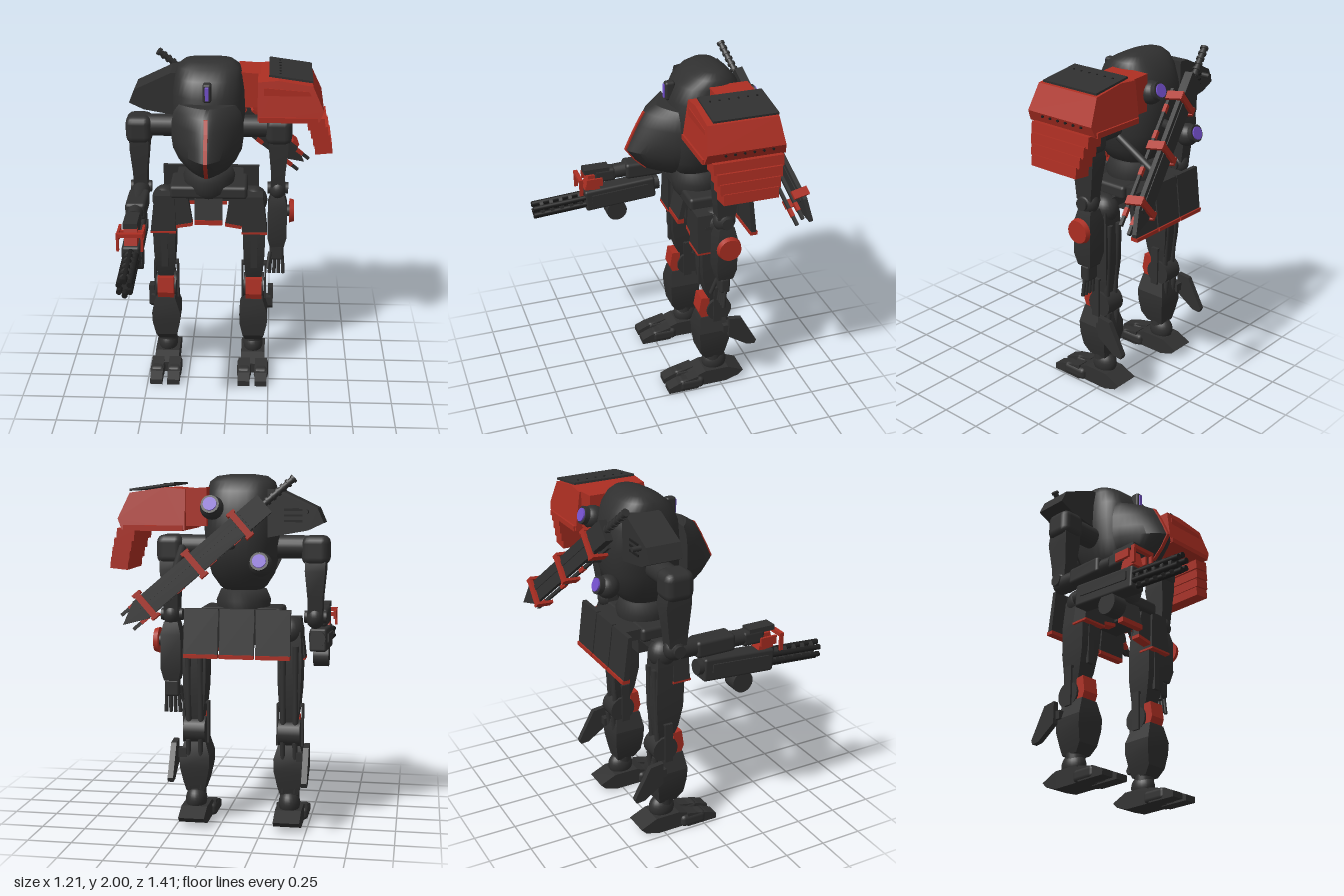
import * as THREE from 'three';
import { toCreasedNormals } from 'three/addons/utils/BufferGeometryUtils.js';
import { RoundedBoxGeometry } from 'three/addons/geometries/RoundedBoxGeometry.js';

const material = (name, color) => Object.assign(new THREE.MeshStandardMaterial({ color }), { name });
const V = (x, y, z) => new THREE.Vector3(x, y, z);

export function createModel() {
  const dark = material('charcoal', 0x303030), black = material('black', 0x1e1e1e);
  const red = material('red', 0xac2e22), purple = material('purple', 0x7350cc);
  const root = new THREE.Group();
  root.name = 'walkingRobot';
  let parent = root;
  const group = (name, x = 0, y = 0, z = 0) => {
    const g = new THREE.Group();
    g.name = name; g.position.set(x, y, z); root.add(g);
    return (parent = g);
  };
  const add = (name, geo, mat, x = 0, y = 0, z = 0) => {
    const m = new THREE.Mesh(geo, mat);
    m.name = name; m.position.set(x, y, z); parent.add(m);
    return m;
  };
  const box = (name, mat, w, h, d, x, y, z) => add(name, new THREE.BoxGeometry(w, h, d), mat, x, y, z);
  const soft = (name, mat, w, h, d, x, y, z, r = 0.02) => add(name, new RoundedBoxGeometry(w, h, d, 2, r), mat, x, y, z);
  const ball = (name, mat, r, x, y, z, sx = 1) => {
    const m = add(name, new THREE.SphereGeometry(r, 24, 16), mat, x, y, z);
    m.scale.x = sx; return m;
  };
  // Round rod between two points
  const rod = (name, mat, a, b, r0, r1 = r0) => {
    const m = add(name, new THREE.CylinderGeometry(r1, r0, a.distanceTo(b), 20), mat);
    m.position.copy(a).lerp(b, 0.5);
    m.quaternion.setFromUnitVectors(V(0, 1, 0), b.clone().sub(a).normalize());
    return m;
  };
  // Profile of [x, y] points extruded along z, or of [z, y] points along x
  const front = (name, mat, pts, depth, x, z) => {
    const g = new THREE.ExtrudeGeometry(new THREE.Shape(pts.map(p => new THREE.Vector2(...p))), { depth, bevelEnabled: false });
    return add(name, g.translate(0, 0, -depth / 2), mat, x, 0, z);
  };
  const side = (name, mat, pts, width, x) => {
    const m = front(name, mat, pts, width, 0, 0);
    m.geometry.rotateY(-Math.PI / 2);
    m.position.x = x; return m;
  };
  // Skin over rings stacked upward, each running counter-clockwise seen from above
  const loft = (rings, crease) => {
    const n = rings[0].length, pos = [], idx = [];
    rings.forEach(r => r.forEach(p => pos.push(p.x, p.y, p.z)));
    for (let i = 0; i < rings.length - 1; i++) for (let j = 0; j < n; j++) {
      const a = i * n + j, b = i * n + (j + 1) % n;
      idx.push(a, b, b + n, a, b + n, a + n);
    }
    const top = (rings.length - 1) * n;
    for (let j = 1; j < n - 1; j++) idx.push(0, j + 1, j, top, top + j, top + j + 1);
    const g = new THREE.BufferGeometry();
    g.setAttribute('position', new THREE.Float32BufferAttribute(pos, 3));
    g.setIndex(idx);
    return toCreasedNormals(g, crease);
  };
  // Rectangular rings: [y, half width, front z, back z]
  const blocks = rows => loft(rows.map(([y, w, f, b]) => [V(-w, y, f), V(w, y, f), V(w, y, b), V(-w, y, b)]), 0.3);
  const C = -0.12;

  // Torso shell
  group('torso', C);
  const shell = [[1.34, 0.08, -0.08, -0.27], [1.38, 0.13, -0.05, -0.34], [1.45, 0.175, -0.02, -0.4], [1.56, 0.2, -0.01, -0.44],
    [1.7, 0.212, -0.01, -0.45], [1.82, 0.208, -0.02, -0.44], [1.91, 0.195, -0.06, -0.41], [1.96, 0.18, -0.12, -0.37], [1.99, 0.14, -0.18, -0.33], [2.0, 0.07, -0.22, -0.29]];
  add('torsoShell', loft(shell.map(([y, w, f, b]) => Array.from({ length: 36 }, (_, i) => {
    const a = i / 36 * Math.PI * 2, p = v => Math.sign(v) * Math.abs(v) ** 0.8;
    return V(-w * p(Math.cos(a)), y, (f + b) / 2 + (f - b) / 2 * p(Math.sin(a)));
  })), 0.7), dark);
  // Pointed visor
  const visor = [[1.36, 0.05, 0.02], [1.4, 0.115, 0.115], [1.46, 0.165, 0.18], [1.53, 0.198, 0.232], [1.6, 0.207, 0.2], [1.68, 0.205, 0.16], [1.75, 0.19, 0.12], [1.79, 0.16, 0.06]];
  add('visor', loft(visor.map(([y, w, f]) => Array.from({ length: 21 }, (_, i) => {
    const s = i / 10 - 1;
    return V(w * s, y, -0.03 + (f + 0.03) * (1 - Math.abs(s) ** 1.6));
  })), 0.6), dark);
  const nose = visor.slice(1, 7);
  side('visorStripe', red, [...nose.map(([y, , f]) => [f + 0.006, y]), ...nose.map(([y, , f]) => [f - 0.02, y]).reverse()], 0.022, 0);
  soft('sensorHousing', dark, 0.05, 0.11, 0.06, 0, 1.86, -0.03, 0.015);
  soft('sensorLens', purple, 0.022, 0.08, 0.008, 0, 1.86, 0.003, 0.003);
  add('waist', new THREE.LatheGeometry([[0, 1.18], [0.11, 1.18], [0.14, 1.22], [0.155, 1.3], [0.13, 1.36], [0, 1.38]].map(p => new THREE.Vector2(...p)), 32), dark, 0, 0, -0.2);
  // Rear thrusters
  for (const [x, y, z] of [[0.14, 1.82, -0.43], [-0.135, 1.52, -0.48]]) {
    ball('thrusterHousing', dark, 0.065, x, y, z);
    const back = V(x, y + 0.022, z - 0.065);
    rod('thrusterRim', dark, V(x, y, z), back, 0.05);
    rod('thrusterLens', purple, back, V(x, y + 0.025, z - 0.073), 0.037);
  }

  // Pelvis and skirt
  group('pelvis', C);
  soft('pelvisBlock', dark, 0.46, 0.08, 0.24, 0, 1.225, -0.2);
  box('hipAxle', dark, 0.54, 0.06, 0.1, 0, 1.17, -0.22);
  box('skirtMount', dark, 0.4, 0.06, 0.16, 0, 1.23, -0.36);
  box('crotchBlock', dark, 0.15, 0.16, 0.16, 0, 1.13, -0.19);
  side('frontSkirt', dark, [[-0.12, 1.2], [-0.09, 1.2], [-0.06, 1.06], [-0.09, 1.06]], 0.165, 0);
  box('frontSkirtTrim', red, 0.165, 0.03, 0.04, 0, 1.045, -0.075);
  for (const i of [-1, 0, 1]) {
    side('rearSkirt', dark, [[-0.44, 1.27], [-0.415, 1.27], [-0.44, 1.02], [-0.472, 1.02]], 0.19, i * 0.2);
    box('rearSkirtTrim', red, 0.19, 0.022, 0.045, i * 0.2, 1.01, -0.458);
  }

  // Legs
  for (const s of [-1, 1]) {
    group(s > 0 ? 'leftLeg' : 'rightLeg', C + s * 0.272);
    const out = pts => pts.map(([x, y]) => [x * s, y]);
    ball('hipJoint', dark, 0.085, 0, 1.13, -0.22, 0.9);
    front('hipArmour', dark, out([[0.05, 1.2], [0.078, 0.97], [-0.073, 0.97], [-0.07, 1.2]]), 0.1, 0, -0.14);
    box('hipArmourTrim', red, 0.152, 0.012, 0.11, s * 0.002, 0.965, -0.14);
    front('innerHipArmour', dark, out([[-0.06, 1.235], [-0.14, 1.235], [-0.172, 1.02], [-0.075, 1.0]]), 0.05, 0, -0.13);
    front('innerHipTrim', red, out([[-0.075, 1.005], [-0.075, 0.985], [-0.174, 1.002], [-0.174, 1.023]]), 0.056, 0, -0.13);
    add('thigh', blocks([[0.6, 0.042, -0.18, -0.27], [0.68, 0.055, -0.15, -0.28], [0.8, 0.064, -0.125, -0.29], [0.97, 0.068, -0.12, -0.29], [1.13, 0.06, -0.14, -0.28]]), dark);
    box('thighRidge', dark, 0.04, 0.24, 0.02, 0, 0.84, -0.125);
    for (const x of [-0.035, 0.035]) {
      rod('thighPiston', dark, V(x, 0.58, -0.27), V(x, 1.05, -0.29), 0.017);
      rod('calfPiston', dark, V(x, 0.2, -0.26), V(x, 0.5, -0.29), 0.015);
    }
    for (const x of [-0.071, 0.071]) {
      box('kneeRail', dark, 0.012, 0.24, 0.05, x, 0.59, -0.22);
      box('kneeRailTop', dark, 0.03, 0.012, 0.05, x * 0.85, 0.705, -0.22);
    }
    rod('kneeJoint', dark, V(-0.062, 0.545, -0.235), V(0.062, 0.545, -0.235), 0.077);
    side('kneePlate', red, [[-0.18, 0.49], [-0.13, 0.49], [-0.11, 0.54], [-0.125, 0.635], [-0.175, 0.63]], 0.1, 0);
    add('calf', blocks([[0.19, 0.052, -0.16, -0.27], [0.24, 0.066, -0.12, -0.28], [0.33, 0.085, -0.11, -0.295], [0.4, 0.087, -0.105, -0.295], [0.5, 0.056, -0.12, -0.27]]), dark);
    side('calfFin', dark, [[-0.28, 0.5], [-0.36, 0.49], [-0.46, 0.31], [-0.45, 0.285], [-0.4, 0.29], [-0.28, 0.37]], 0.032, s * 0.105);
    box('finStrut', dark, 0.06, 0.05, 0.06, s * 0.075, 0.42, -0.28);
    ball('ankle', dark, 0.077, 0, 0.135, -0.23, 0.8);
    rod('ankleCollar', dark, V(0, 0.13, -0.22), V(0, 0.2, -0.22), 0.056);
    side('foot', dark, [[-0.29, 0.004], [-0.06, 0.004], [-0.06, 0.07], [-0.15, 0.105], [-0.3, 0.105], [-0.4, 0.06], [-0.37, 0.03]], 0.15, 0);
    for (const x of [-0.053, 0.053]) {
      soft('toe', dark, 0.088, 0.075, 0.16, x, 0.0375, -0.06, 0.025);
      side('toeTip', dark, [[-0.1, 0], [0.09, 0], [0.09, 0.035], [0.03, 0.06], [-0.1, 0.09]], 0.075, x);
    }
  }

  // Shoulders and upper arms
  for (const [name, x, s] of [['leftArm', 0.29, 1], ['rightArm', -0.53, -1]]) {
    group(name, x);
    soft('shoulder', dark, 0.155, 0.165, 0.17, 0, 1.583, -0.22, 0.045);
    rod('shoulderAxle', dark, V(-s * 0.26, 1.6, -0.22), V(0, 1.6, -0.22), 0.065);
    add('upperArm', blocks([[1.23, 0.04, -0.17, -0.27], [1.32, 0.042, -0.16, -0.28], [1.47, 0.056, -0.15, -0.3], [1.53, 0.056, -0.15, -0.29]]), dark);
    ball('elbow', dark, 0.067, 0, 1.21, -0.22, 0.8);
    rod('elbowPin', dark, V(-0.062, 1.21, -0.22), V(0.062, 1.21, -0.22), 0.035);
    if (s > 0) {
      // Hanging forearm with shield disc and open hand
      add('forearm', blocks([[0.83, 0.042, -0.18, -0.27], [0.9, 0.058, -0.165, -0.285], [1.1, 0.058, -0.165, -0.285], [1.17, 0.04, -0.18, -0.27]]), dark);
      rod('discMount', dark, V(0.04, 1.06, -0.225), V(0.075, 1.06, -0.225), 0.035);
      rod('armDisc', red, V(0.072, 1.06, -0.225), V(0.1, 1.06, -0.225), 0.074, 0.066);
      soft('palm', dark, 0.085, 0.1, 0.06, 0, 0.785, -0.225, 0.015);
      for (let i = 0; i < 4; i++) rod('finger', dark, V(-0.036 + i * 0.024, 0.75, -0.225), V(-0.042 + i * 0.028, 0.64, -0.215), 0.011);
      rod('thumb', dark, V(-0.04, 0.79, -0.2), V(-0.055, 0.69, -0.17), 0.012);
    } else {
      // Forearm reaching forward
      rod('forearm', dark, V(0, 1.2, -0.2), V(0, 1.185, 0.2), 0.055, 0.045);
      soft('forearmCuff', dark, 0.12, 0.1, 0.24, 0, 1.19, 0.01);
      soft('fist', dark, 0.085, 0.085, 0.14, 0, 1.18, 0.26);
      box('knuckles', dark, 0.08, 0.03, 0.16, 0, 1.22, 0.31);
    }
  }

  // Rotary gun
  const gun = group('rotaryGun', -0.53, 1.05, 0);
  gun.rotation.x = 0.07;
  soft('gunBody', dark, 0.1, 0.135, 0.45, 0, 0, 0.165, 0.015);
  for (const s of [-1, 1]) box('gunSideRail', dark, 0.012, 0.05, 0.36, s * 0.052, 0.01, 0.17);
  for (let i = 0; i < 6; i++) {
    const a = i * Math.PI / 3, x = Math.sin(a) * 0.034, y = Math.cos(a) * 0.044;
    rod('barrel', black, V(x, y, 0.37), V(x, y, 0.715), 0.016);
  }
  for (const z of [0.42, 0.48, 0.54, 0.6, 0.66]) rod('barrelRing', dark, V(0, 0, z - 0.011), V(0, 0, z + 0.011), 0.058).scale.x = 0.72;
  rod('ammoDrum', dark, V(-0.045, -0.11, 0.2), V(0.045, -0.11, 0.2), 0.064);
  rod('gunTail', dark, V(0, 0.01, -0.09), V(0, 0.01, -0.04), 0.045);
  // Red carrying handle
  group('gunHandle', -0.53);
  side('handleBase', red, [[0.29, 1.09], [0.39, 1.1], [0.365, 1.195], [0.32, 1.195]], 0.075, 0);
  box('handleBar', red, 0.15, 0.022, 0.025, 0, 1.18, 0.42);
  box('handleCrossbar', red, 0.15, 0.02, 0.02, 0, 1.16, 0.335);
  for (const x of [-0.068, 0.068]) {
    box('handlePost', red, 0.014, 0.1, 0.022, x, 1.135, 0.42);
    box('handleGuard', red, 0.014, 0.05, 0.1, x, 1.16, 0.335);
  }

  // Dark right shoulder armour with vents
  group('rightShoulderArmour');
  front('rightPauldron', dark, [[-0.585, 1.74], [-0.55, 1.82], [-0.34, 1.92], [-0.28, 1.92], [-0.28, 1.66], [-0.5, 1.7]], 0.2, 0, -0.3);
  for (let i = 0; i < 3; i++) box('ventSlit', black, 0.1, 0.012, 0.008, -0.42, 1.75 + i * 0.03, -0.402);
  rod('armourPeg', dark, V(-0.49, 1.8, -0.38), V(-0.49, 1.8, -0.45), 0.014);

  // Red left shoulder armour
  group('leftShoulderArmour');
  front('armourLink', red, [[0.05, 1.72], [0.2, 1.72], [0.2, 1.92], [0.05, 1.93]], 0.23, 0, -0.315);
  const pauldron = front('leftPauldron', red, [[0.165, 1.7], [0.515, 1.7], [0.54, 1.76], [0.475, 1.9], [0.28, 1.93], [0.165, 1.92]], 0.46, 0, -0.24);
  const p = pauldron.geometry.attributes.position;
  for (let i = 0; i < p.count; i++) p.setZ(i, p.getZ(i) * (1 - (p.getY(i) - 1.7) * 0.6));
  pauldron.geometry.computeVertexNormals();
  front('pauldronFrontPanel', red, [[0.2, 1.72], [0.49, 1.72], [0.51, 1.76], [0.455, 1.87], [0.2, 1.89]], 0.41, 0, -0.235);
  box('pauldronHem', red, 0.33, 0.03, 0.475, 0.34, 1.71, -0.24);
  const plate = box('topPlate', dark, 0.25, 0.012, 0.37, 0.352, 1.933, -0.255);
  plate.rotation.z = -0.14;
  for (let i = 0; i < 6; i++) {
    const z = -0.12 - i * 0.054;
    rod('sideRivet', black, V(0.525, 1.745, z), V(0.542, 1.745, z), 0.007);
    rod('topRivet', black, V(0.29, 1.94, z), V(0.29, 1.952, z), 0.006);
  }
  for (let i = 0; i < 4; i++) {
    const tier = box('armourTier', red, 0.1, 0.062, 0.4 - i * 0.028, [0.5, 0.52, 0.535, 0.548][i], 1.672 - i * 0.054, -0.25);
    tier.rotation.z = 0.1;
  }

  // Sheathed sword slung across the back, built along local x
  const a = V(-0.43, 1.98, -0.45), d = V(0.46, 1.2, -0.685).sub(a).normalize();
  const w = V(0.66, 0.75, 0).addScaledVector(d, -d.dot(V(0.66, 0.75, 0))).normalize();
  const sword = group('backSword', a.x, a.y, a.z);
  sword.quaternion.setFromRotationMatrix(new THREE.Matrix4().makeBasis(d, w, d.clone().cross(w)));
  rod('grip', dark, V(0, 0, 0), V(0.24, 0, 0), 0.017);
  for (let i = 0; i < 6; i++) rod('gripRing', dark, V(i * 0.036, 0, 0), V(i * 0.036 + 0.014, 0, 0), 0.023);
  box('guard', dark, 0.14, 0.12, 0.05, 0.28, 0, 0);
  front('blade', dark, [[0.3, -0.06], [1.08, -0.06], [1.2, 0], [1.08, 0.06], [0.3, 0.06]], 0.026, 0, 0);
  box('bladeSpine', dark, 0.75, 0.03, 0.035, 0.7, 0.02, 0);
  for (const y of [-0.05, 0.05]) {
    box('sheathRail', dark, 0.86, 0.018, 0.018, 0.75, y, 0.065);
    for (const x of [0.45, 0.62, 0.85, 1.1]) box('railBand', red, 0.05, 0.022, 0.022, x, y, 0.065);
  }
  for (const x of [0.38, 0.7, 1.04]) {
    box('sheathClamp', red, 0.035, 0.17, 0.018, x, 0, -0.022);
    for (const y of [-0.078, 0.078]) box('clampLeg', red, 0.05, 0.016, 0.1, x, y, 0.02);
  }
  group('swordMount');
  rod('mountArm', dark, V(0.2, 1.6, -0.36), V(0.2, 1.46, -0.6), 0.02);
  rod('mountBrace', dark, V(-0.1, 1.62, -0.4), V(-0.05, 1.62, -0.55), 0.025);
  return root;
}
